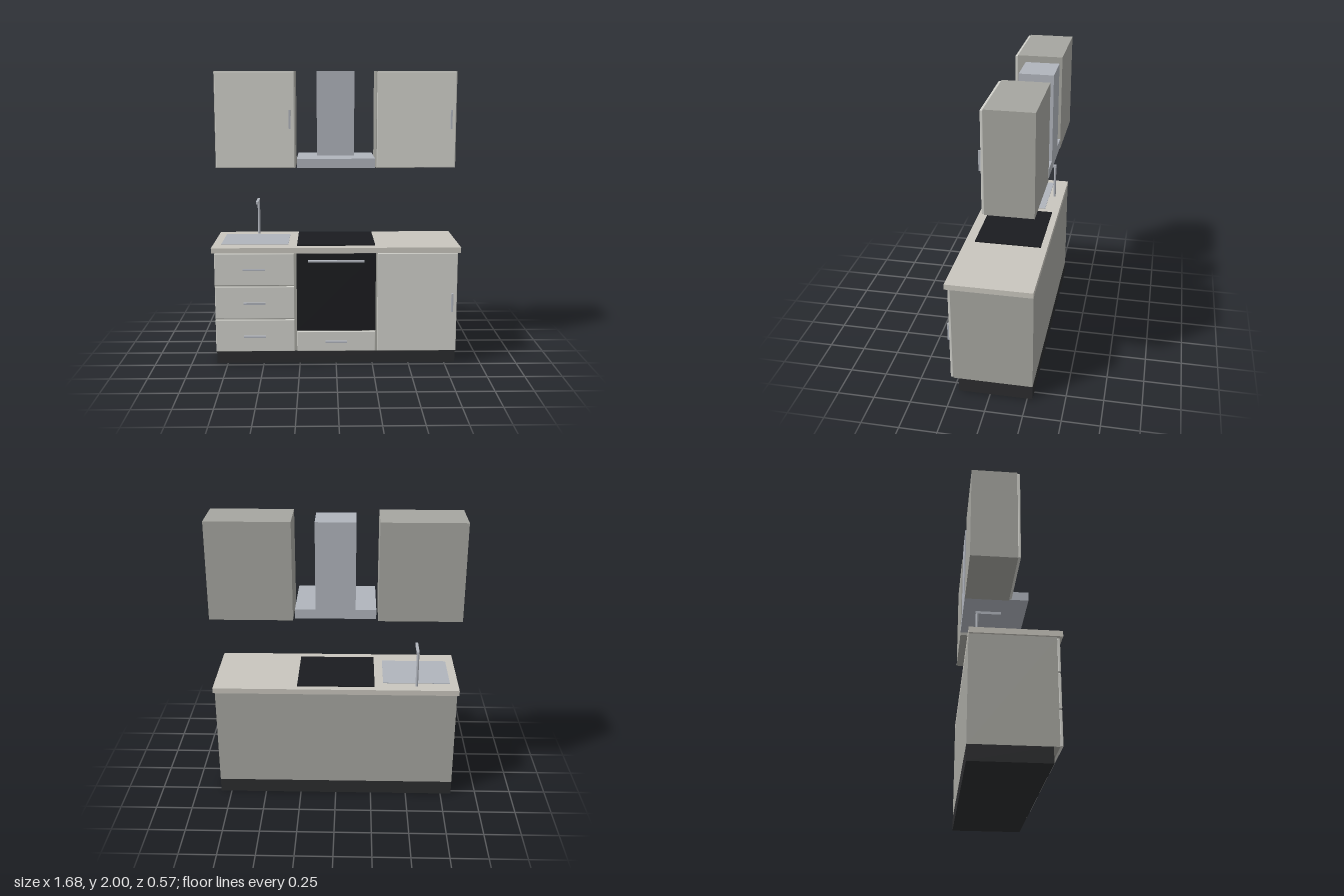
import * as THREE from 'three';
import { RoundedBoxGeometry } from 'three/addons/geometries/RoundedBoxGeometry.js';

const mat = (color) => new THREE.MeshStandardMaterial({ color });

export function createModel() {
  const kitchen = new THREE.Group();
  kitchen.name = 'kitchen';
  const front = mat(0xd2d2cc), carcass = mat(0xa6a6a0), worktop = mat(0xc9c6be);
  const steel = mat(0xb0b4bc), black = mat(0x1b1c20), plinth = mat(0x2b2c2e);

  // Box given by its limits on each axis; a radius softens the edges
  function box(name, material, [x0, x1], [y0, y1], [z0, z1], radius = 0) {
    const size = [x1 - x0, y1 - y0, z1 - z0];
    const geometry = radius
      ? new RoundedBoxGeometry(...size, 2, radius)
      : new THREE.BoxGeometry(...size);
    const mesh = new THREE.Mesh(geometry, material);
    mesh.name = name;
    mesh.position.set((x0 + x1) / 2, (y0 + y1) / 2, (z0 + z1) / 2);
    kitchen.add(mesh);
  }

  const back = -0.285;
  const panel = [0.25, 0.268], grip = [0.268, 0.286];
  const bar = (name, x, y, half) =>
    box(name, steel, [x - half, x + half], [y - 0.006, y + 0.006], grip);

  // Base units
  box('plinth', plinth, [-0.825, 0.825], [0, 0.1], [back, 0.212]);
  box('baseCabinet', carcass, [-0.825, 0.825], [0.1, 0.795], [back, 0.25]);
  box('worktop', worktop, [-0.84, 0.84], [0.795, 0.832], [back, 0.285]);

  // Left drawer stack
  [[0.103, 0.327], [0.336, 0.56], [0.57, 0.789]].forEach(([y0, y1], i) => {
    box('drawerFront' + (i + 1), front, [-0.823, -0.284], [y0, y1], panel, 0.004);
    bar('drawerHandle' + (i + 1), -0.555, 0.21 + i * 0.235, 0.075);
  });

  // Oven with the drawer below it
  box('ovenDrawer', front, [-0.268, 0.268], [0.103, 0.242], panel, 0.004);
  bar('ovenDrawerHandle', 0, 0.172, 0.073);
  box('ovenDoor', black, [-0.268, 0.268], [0.25, 0.789], panel, 0.002);
  bar('ovenHandle', 0, 0.738, 0.19);

  // Right base door
  box('baseDoor', front, [0.28, 0.823], [0.103, 0.789], panel, 0.004);
  box('baseDoorHandle', steel, [0.784, 0.796], [0.382, 0.51], grip);

  // Hob and sink
  box('hob', black, [-0.265, 0.265], [0.832, 0.84], [-0.24, 0.217]);
  box('sink', steel, [-0.784, -0.325], [0.832, 0.836], [-0.18, 0.17]);

  // Tap
  const post = new THREE.Mesh(new THREE.CylinderGeometry(0.009, 0.009, 0.25, 16), steel);
  post.name = 'tapPost';
  post.position.set(-0.553, 0.957, -0.218);
  kitchen.add(post);
  box('tapSpout', steel, [-0.562, -0.544], [1.073, 1.091], [-0.227, -0.063]);

  // Wall cabinets
  for (const [side, x0] of [['right', -0.828], ['left', 0.278]]) {
    const x1 = x0 + 0.55;
    box(side + 'WallCabinet', carcass, [x0, x1], [1.34, 2], [back, 0.019]);
    box(side + 'WallDoor', front, [x0 + 0.005, x1 - 0.005], [1.345, 1.995], [0.019, 0.037], 0.004);
    box(side + 'WallDoorHandle', steel, [x1 - 0.042, x1 - 0.031], [1.61, 1.738], [0.037, 0.056]);
  }

  // Extractor hood
  box('hoodCanopy', steel, [-0.264, 0.264], [1.355, 1.418], [back, 0.157]);
  box('hoodChimney', steel, [-0.13, 0.13], [1.418, 2], [back, -0.06]);

  return kitchen;
}
